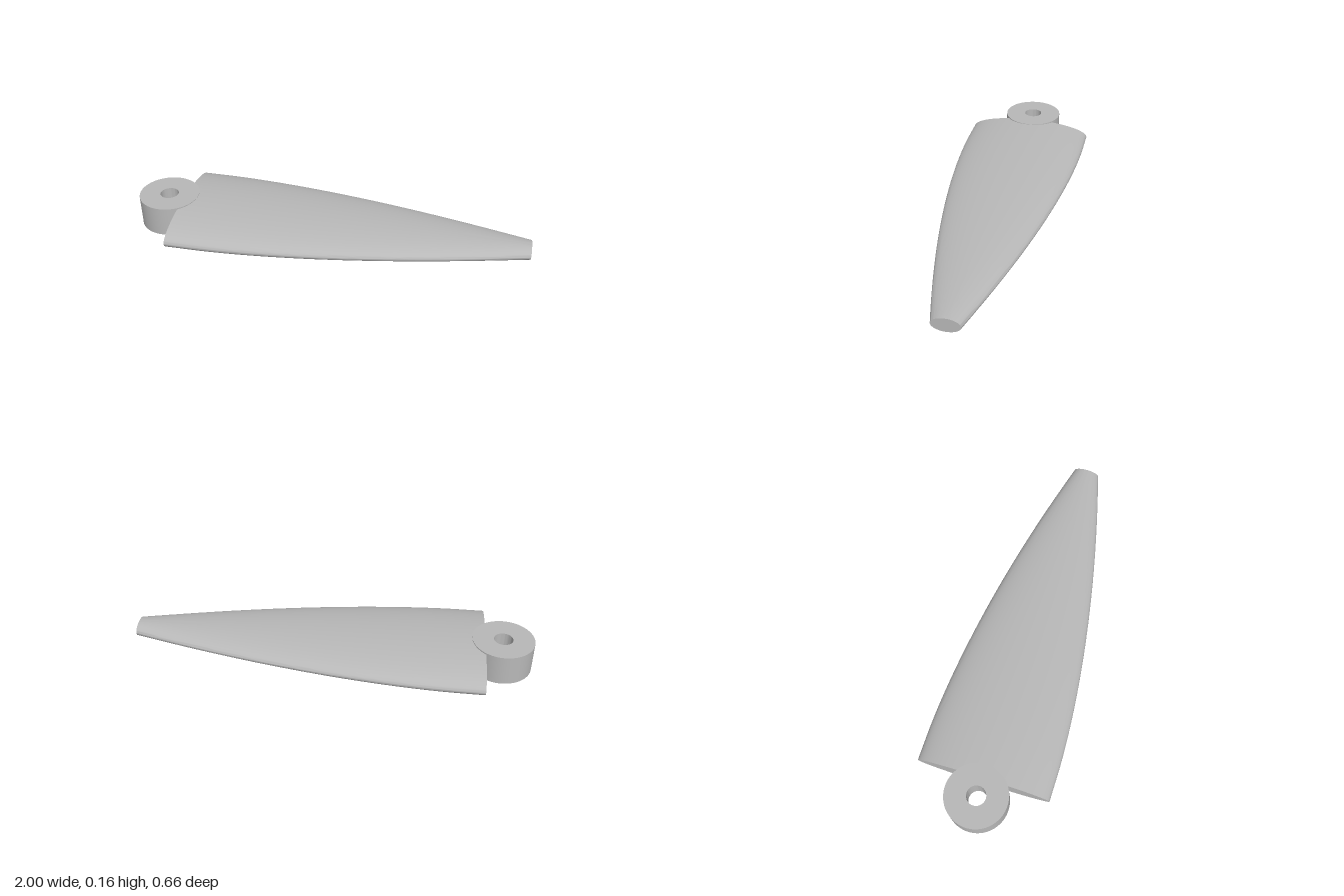
import * as THREE from 'three';
import { toCreasedNormals } from 'three/addons/utils/BufferGeometryUtils.js';

const MID = 0.078; // height of the centre plane
const ROOT = -0.76, TIP = 1;

// Tapered blade lofted from elliptical cross-sections, capped at both ends
function bladeGeometry(rings = 40, sides = 96) {
  const pos = [], idx = [];
  for (let i = 0; i <= rings; i++) {
    const t = i / rings;
    const x = ROOT + (TIP - ROOT) * t;
    const s = Math.max(0, (x + 0.62) / 1.62);
    const halfWidth = 0.33 - 0.264 * Math.pow(s, 1.7);
    const halfHeight = 0.0765 - 0.042 * Math.pow(t, 1.3);
    for (let j = 0; j < sides; j++) {
      const a = (j / sides) * Math.PI * 2;
      pos.push(x, MID + halfHeight * Math.sin(a), halfWidth * Math.cos(a));
    }
  }
  const rootCentre = pos.length / 3, tipCentre = rootCentre + 1;
  pos.push(ROOT, MID, 0, TIP, MID, 0);
  for (let j = 0; j < sides; j++) {
    const k = (j + 1) % sides;
    for (let i = 0; i < rings; i++) {
      const a = i * sides + j, b = i * sides + k;
      idx.push(a, a + sides, b, b, a + sides, b + sides);
    }
    idx.push(rootCentre, j, k);
    idx.push(tipCentre, rings * sides + k, rings * sides + j);
  }
  const geo = new THREE.BufferGeometry();
  geo.setAttribute('position', new THREE.Float32BufferAttribute(pos, 3));
  geo.setIndex(idx);
  return toCreasedNormals(geo, 0.7);
}

// Round hub with a through hole
function hubGeometry(outer, inner, height) {
  const profile = [[inner, 0], [outer, 0], [outer, height], [inner, height], [inner, 0]]
    .map(([r, y]) => new THREE.Vector2(r, y));
  return toCreasedNormals(new THREE.LatheGeometry(profile, 72), 0.7);
}

export function createModel() {
  const grey = new THREE.MeshStandardMaterial({ color: 0xb8b8b8 });
  grey.name = 'light grey';

  const model = new THREE.Group();
  model.name = 'propellerBlade';

  const blade = new THREE.Mesh(bladeGeometry(), grey);
  blade.name = 'blade';

  const hub = new THREE.Mesh(hubGeometry(0.153, 0.047, 2 * MID), grey);
  hub.name = 'hub';
  hub.position.x = -0.847;

  model.add(blade, hub);
  return model;
}
